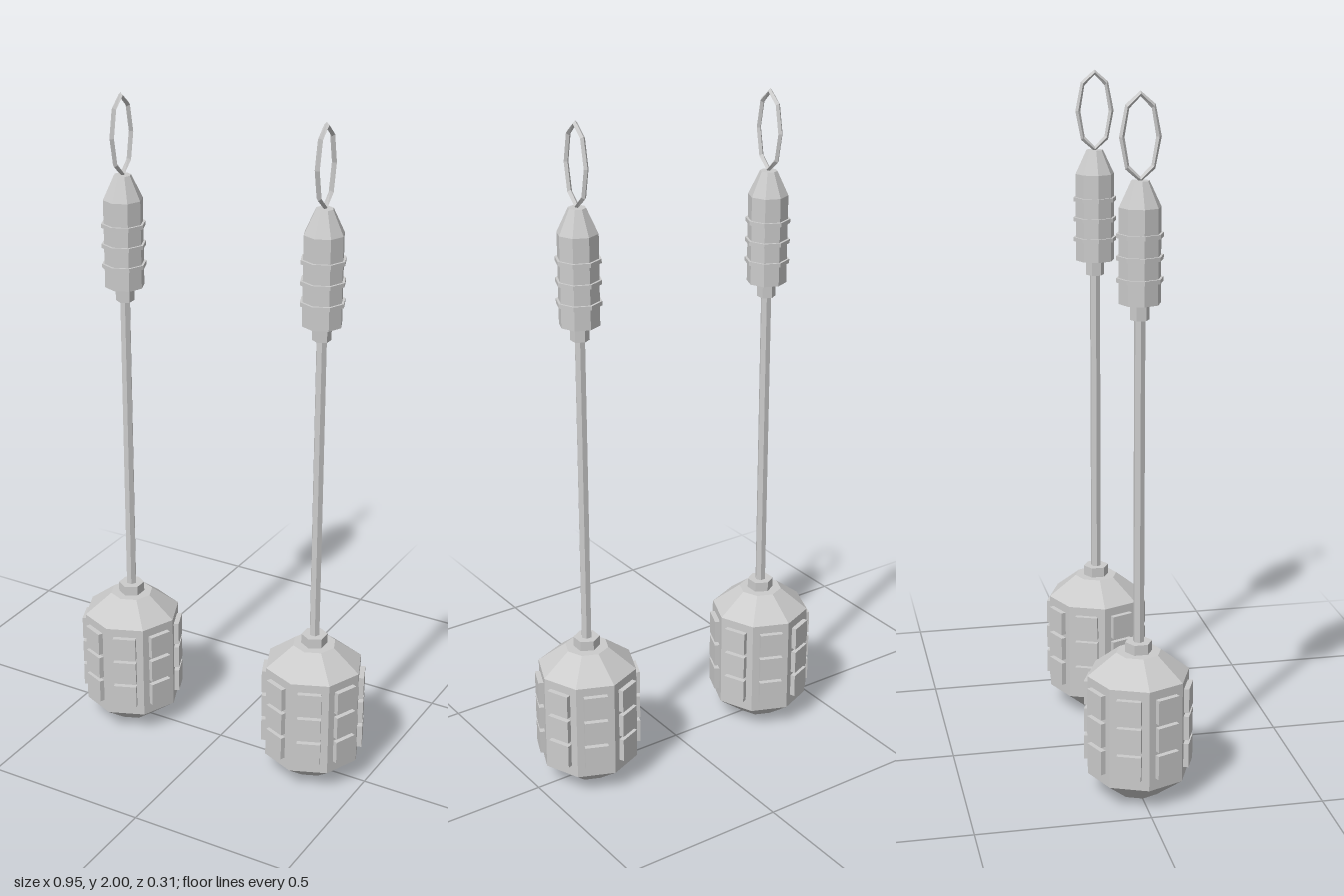
import * as THREE from 'three';

const material = new THREE.MeshStandardMaterial({ color: 0xcccccc, flatShading: true });

function add(parent, name, geometry, y = 0) {
  const mesh = new THREE.Mesh(geometry, material);
  mesh.name = name;
  mesh.position.y = y;
  parent.add(mesh);
  return mesh;
}

// Faceted solid of revolution from [radius, height] pairs, listed bottom to top
function faceted(profile, sides) {
  return new THREE.LatheGeometry(profile.map(([r, y]) => new THREE.Vector2(r, y)), sides);
}

// Prism standing between two heights
function prism(parent, name, radius, y0, y1, sides) {
  return add(parent, name, new THREE.CylinderGeometry(radius, radius, y1 - y0, sides), (y0 + y1) / 2);
}

// Eight-sided ring stretched upward while keeping an even thickness
function loopGeometry(halfWidth, halfHeight, tube) {
  const geometry = new THREE.TorusGeometry(halfWidth, tube, 4, 8);
  const p = geometry.attributes.position;
  for (let i = 0; i < p.count; i++) {
    const angle = Math.atan2(p.getY(i), p.getX(i));
    p.setY(i, p.getY(i) + Math.sin(angle) * (halfHeight - halfWidth));
  }
  geometry.rotateY(Math.PI / 2);
  geometry.computeVertexNormals();
  return geometry;
}

function createMace() {
  const mace = new THREE.Group();

  // Octagonal head with chamfered ends
  add(mace, 'head', faceted([[0, 0], [0.063, 0], [0.148, 0.065], [0.148, 0.365], [0.065, 0.43], [0, 0.43]], 8));

  // Three raised pads on every side of the head
  const pads = new THREE.Group();
  pads.name = 'headPads';
  mace.add(pads);
  const padGeometry = new THREE.BoxGeometry(0.07, 0.072, 0.03);
  for (let side = 0; side < 8; side++) {
    const angle = (side + 0.5) * Math.PI / 4;
    for (const y of [0.135, 0.219, 0.303]) {
      const pad = add(pads, 'headPad', padGeometry);
      pad.position.set(Math.sin(angle) * 0.137, y, Math.cos(angle) * 0.137);
      pad.rotation.y = angle;
    }
  }

  // Shaft and its two collars
  prism(mace, 'headCollar', 0.039, 0.43, 0.46, 6);
  prism(mace, 'shaft', 0.016, 0.44, 1.42, 6).rotation.y = Math.PI / 6;
  prism(mace, 'gripCollar', 0.027, 1.39, 1.437, 6);

  // Grip with a tapered end and three thin ribs
  add(mace, 'grip', faceted([[0, 1.435], [0.058, 1.435], [0.058, 1.695], [0.025, 1.765], [0, 1.765]], 8));
  for (const y of [1.5, 1.56, 1.62]) prism(mace, 'gripRib', 0.065, y - 0.006, y + 0.006, 8);

  // Hanging loop
  add(mace, 'hangingLoop', loopGeometry(0.05, 0.112, 0.0075), 1.88);
  return mace;
}

export function createModel() {
  const model = new THREE.Group();
  model.name = 'pairOfMaces';
  for (const [name, x] of [['leftMace', 0.32], ['rightMace', -0.32]]) {
    const mace = createMace();
    mace.name = name;
    mace.position.x = x;
    model.add(mace);
  }
  return model;
}
